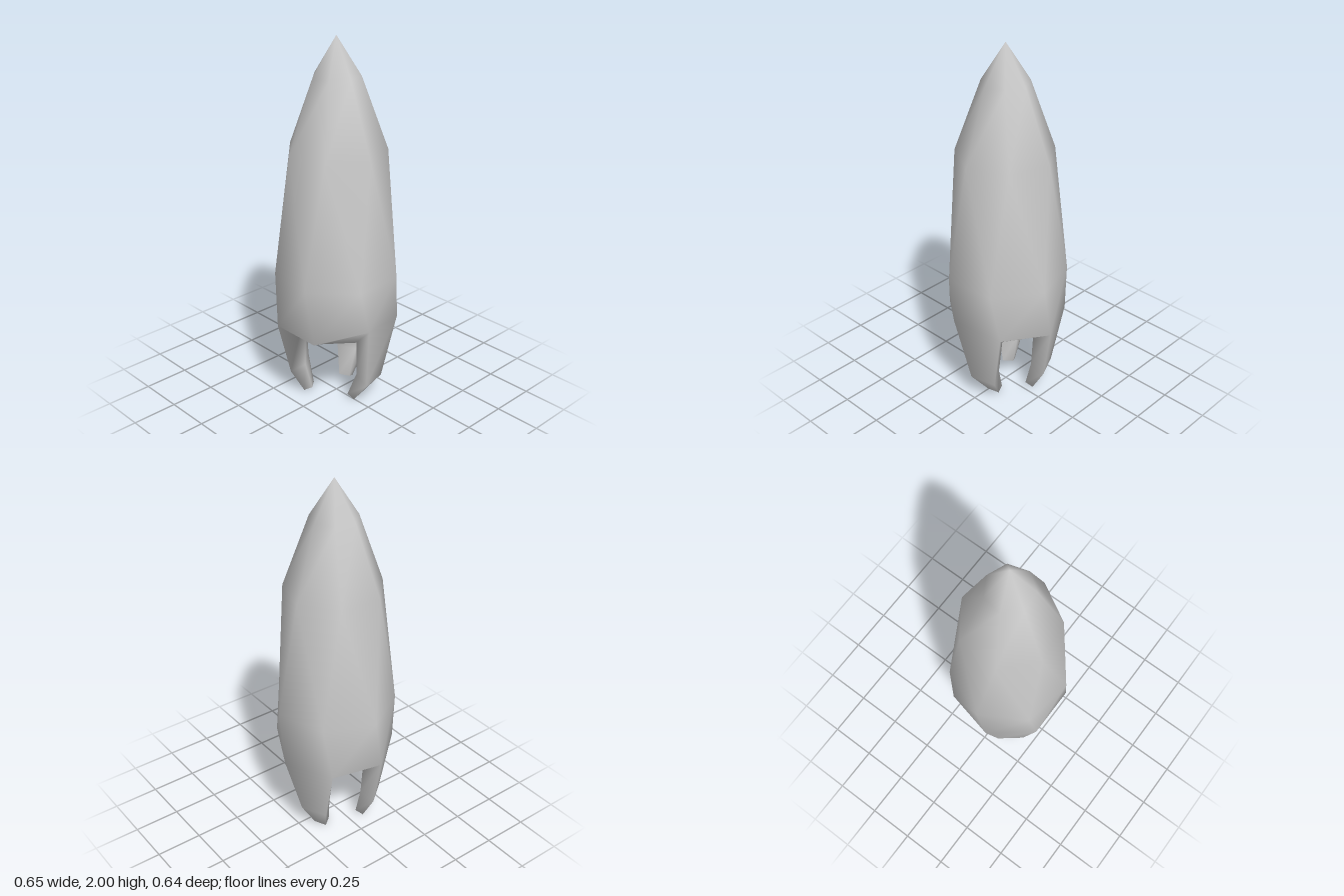
import * as THREE from 'three';

const SIDES = 7;
const DEG = Math.PI / 180;

export function createModel() {
  const group = new THREE.Group();
  const material = new THREE.MeshStandardMaterial({ color: 0xcccccc });
  const points = [];
  const hull = [];

  const point = (x, y, z) => points.push(x, y, z) / 3 - 1;
  const polar = (radius, angle, y) =>
    point(radius * Math.cos(angle * DEG), y, radius * Math.sin(angle * DEG));
  const ring = (radius, turn, heights) => Array.from({ length: SIDES }, (_, k) =>
    polar(radius, turn + (k * 360) / SIDES, heights[k % heights.length]));

  // Quad split into two triangles, along a-c or b-d
  const quad = (list, a, b, c, d, other) =>
    list.push(...(other ? [a, b, d, b, c, d] : [a, b, c, a, c, d]));

  // Twisted hull rings, from the nose down to the rim and the floor
  const apex = point(0, 2, 0);
  const shoulder = ring(0.125, 9, [1.8]);
  const chest = ring(0.262, 4, [1.42]);
  const waist = ring(0.327, 21.4, [0.75]);
  const rim = ring(0.328, 12.86, [0.52, 0.46, 0.46, 0.46, 0.46, 0.46, 0.49]);
  const floor = ring(0.205, 12.86, [0.4]);
  const floorCentre = point(0, 0.4, 0);

  // Legs: index of the rim side each grows from, and its tip radius
  const legs = [
    { name: 'leftLeg', side: 6, tip: 0.115 },
    { name: 'rightLeg', side: 2, tip: 0.155 },
    { name: 'backLeg', side: 4, tip: 0.148 },
  ];

  for (let k = 0; k < SIDES; k++) {
    const n = (k + 1) % SIDES;
    hull.push(apex, shoulder[n], shoulder[k]);
    quad(hull, shoulder[k], shoulder[n], chest[n], chest[k]);
    quad(hull, chest[k], chest[n], waist[n], waist[k], true);
    quad(hull, waist[k], waist[n], rim[n], rim[k]);
    if (!legs.some((leg) => leg.side === k)) quad(hull, rim[k], rim[n], floor[n], floor[k]);
    hull.push(floor[k], floor[n], floorCentre);
  }

  // Four-cornered leg section: outer pair, then inner pair
  const legSection = (angle, outer, inner) => {
    const c = Math.cos(angle * DEG), s = Math.sin(angle * DEG);
    const corner = ({ r, y, w }, sign) => point(r * c - sign * w * s, y, r * s + sign * w * c);
    return [corner(outer, -1), corner(outer, 1), corner(inner, 1), corner(inner, -1)];
  };

  const parts = [['hull', hull]];
  for (const { name, side, tip } of legs) {
    const n = (side + 1) % SIDES;
    const angle = 12.86 + ((side + 0.5) * 360) / SIDES;
    const sections = [
      [rim[side], rim[n], floor[n], floor[side]],
      legSection(angle, { r: 0.243, y: 0.14, w: 0.075 }, { r: 0.165, y: 0.18, w: 0.055 }),
      legSection(angle, { r: tip + 0.022, y: 0, w: 0.035 }, { r: tip - 0.022, y: 0.018, w: 0.03 }),
    ];
    const faces = [];
    for (let i = 0; i < 2; i++) {
      for (let j = 0; j < 4; j++) {
        const m = (j + 1) % 4;
        quad(faces, sections[i][j], sections[i][m], sections[i + 1][m], sections[i + 1][j]);
      }
    }
    quad(faces, ...sections[2]);
    parts.push([name, faces]);
  }

  // Normals are shared by all parts so the legs blend into the hull
  const whole = new THREE.BufferGeometry();
  whole.setAttribute('position', new THREE.Float32BufferAttribute(points, 3));
  whole.setIndex(parts.flatMap(([, faces]) => faces));
  whole.computeVertexNormals();

  for (const [name, faces] of parts) {
    const geometry = whole.clone().setIndex(faces);
    const mesh = new THREE.Mesh(geometry, material);
    mesh.name = name;
    group.add(mesh);
  }
  return group;
}
